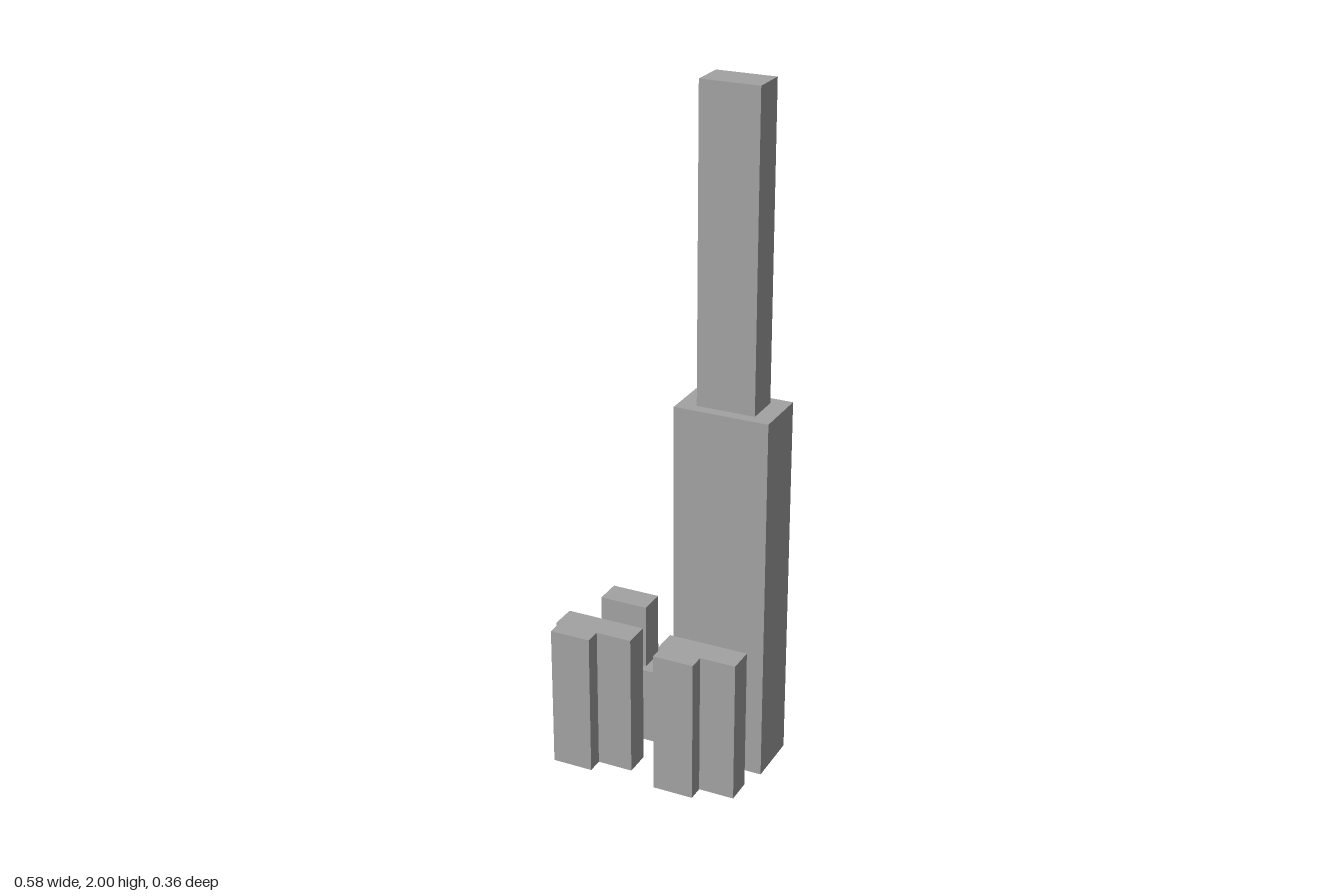
import * as THREE from 'three';

const grey = new THREE.MeshStandardMaterial({ color: 0xa3a3a3 });
grey.name = 'concrete grey';

// Box given by its footprint centre, size and vertical extent
function block(name, x, z, width, depth, bottom, top) {
  const mesh = new THREE.Mesh(new THREE.BoxGeometry(width, top - bottom, depth), grey);
  mesh.position.set(x, (bottom + top) / 2, z);
  mesh.name = name;
  return mesh;
}

// Slab building with a narrower wing projecting from its front
function wingedBuilding(name, left) {
  const plan = [
    [0, 0.053], [0, 0.132], [0.009, 0.132], [0.009, 0.18],
    [0.13, 0.18], [0.13, 0.132], [0.236, 0.132], [0.236, 0.053],
  ];
  const shape = new THREE.Shape(plan.map(([x, z]) => new THREE.Vector2(x, -z)));
  const geometry = new THREE.ExtrudeGeometry(shape, { depth: 0.43, bevelEnabled: false });
  geometry.rotateX(-Math.PI / 2);
  const mesh = new THREE.Mesh(geometry, grey);
  mesh.position.x = left;
  mesh.name = name;
  return mesh;
}

export function createModel() {
  const model = new THREE.Group();
  model.name = 'towerCluster';
  model.add(
    // Tall stepped tower
    block('tallTowerBase', 0.15, -0.098, 0.279, 0.17, 0, 1.1),
    block('tallTowerTop', 0.15, -0.098, 0.172, 0.105, 1.1, 2),
    // Short stepped tower
    block('shortTowerBase', -0.172, -0.098, 0.236, 0.128, 0, 0.236),
    block('shortTowerTop', -0.172, -0.098, 0.145, 0.08, 0.236, 0.43),
    // Pair of front buildings
    wingedBuilding('frontRightBuilding', -0.29),
    wingedBuilding('frontLeftBuilding', 0.032),
  );
  return model;
}
